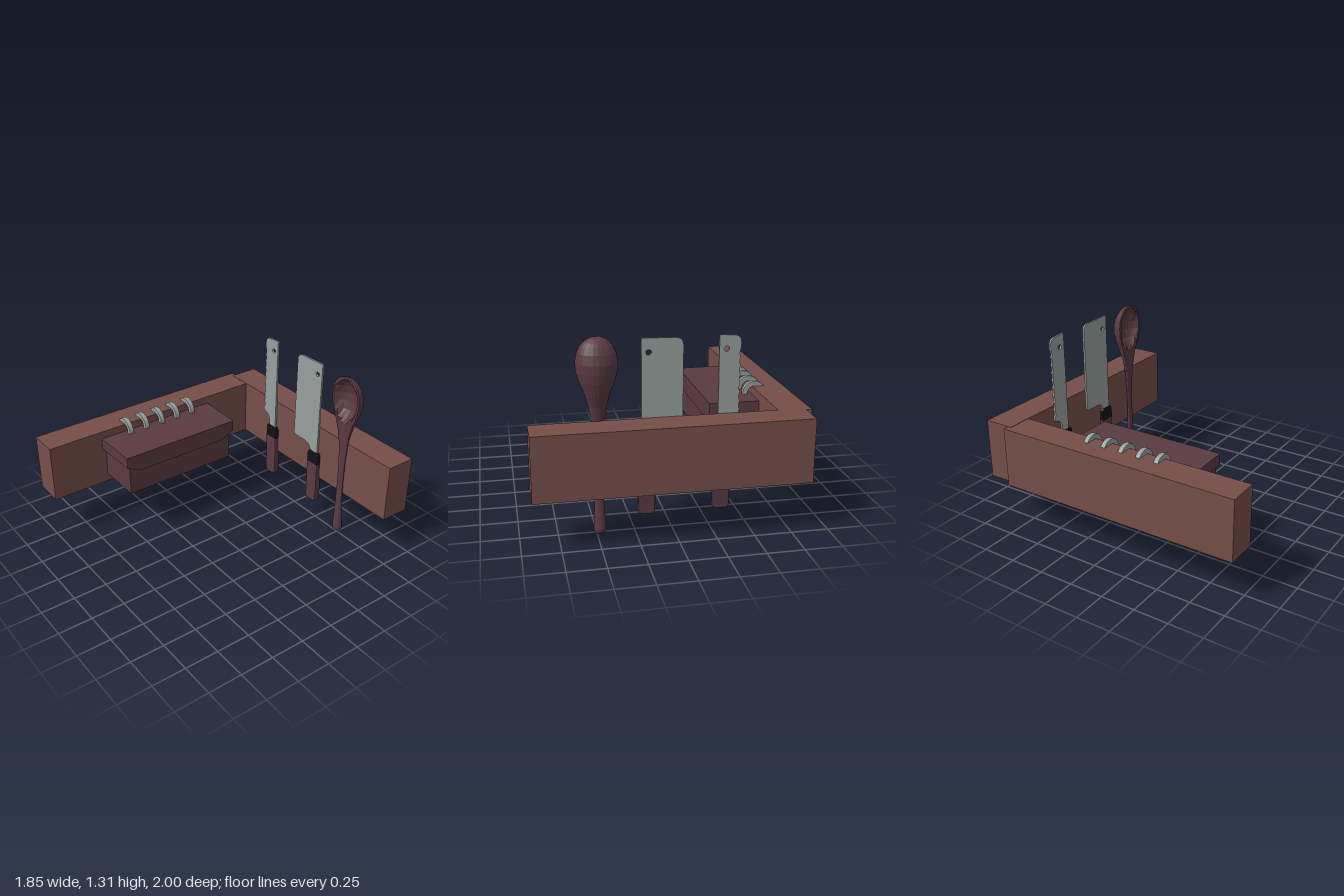
import * as THREE from 'three';

const material = (color, extra = {}) => new THREE.MeshStandardMaterial({ color, flatShading: true, ...extra });
const beamWood = material(0x764e48);
const darkWood = material(0x5a3a41);
const steel = material(0x96a09d);
const black = material(0x101218);

function add(parent, name, geometry, mat) {
  const mesh = new THREE.Mesh(geometry, mat);
  mesh.name = name;
  parent.add(mesh);
  return mesh;
}

// Box given by its minimum and maximum corners
function addBox(parent, name, [x0, y0, z0], [x1, y1, z1], mat) {
  const mesh = add(parent, name, new THREE.BoxGeometry(x1 - x0, y1 - y0, z1 - z0), mat);
  mesh.position.set((x0 + x1) / 2, (y0 + y1) / 2, (z0 + z1) / 2);
  return mesh;
}

const polygon = (points) => new THREE.Shape(points.map(([x, y]) => new THREE.Vector2(x, y)));

// Extrusion between two z levels, with an optional inward chamfer
function slab(shape, z0, z1, bevel = 0, curveSegments = 6) {
  return new THREE.ExtrudeGeometry(shape, {
    depth: z1 - z0 - 2 * bevel, bevelEnabled: bevel > 0, bevelSize: bevel, bevelOffset: -bevel,
    bevelThickness: bevel, bevelSegments: 2, curveSegments,
  }).translate(0, 0, z0 + bevel);
}

// Blade outline; right is its spine, left its cutting edge
function bladeShape(left, right, heelY, neckX, teeth) {
  const s = new THREE.Shape();
  s.moveTo(right, 0.53);
  s.lineTo(right, 1.293);
  s.lineTo(left + 0.045, 1.287);
  s.quadraticCurveTo(left, 1.285, left, 1.235);
  if (teeth) {
    const top = 1.2, pitch = (top - heelY - 0.03) / teeth;
    s.lineTo(left, top);
    for (let i = 0; i < teeth; i++) {
      const y = top - i * pitch;
      s.quadraticCurveTo(left + 0.018, y - pitch / 2, left, y - pitch);
    }
  }
  s.lineTo(left, heelY + 0.008);
  s.lineTo(left + 0.008, heelY);
  s.lineTo(Math.max(left + 0.02, neckX - 0.07), heelY - 0.002);
  s.quadraticCurveTo(neckX, heelY - 0.005, neckX, 0.53);
  const hole = new THREE.Path();
  hole.absarc(right - 0.047, 1.2, 0.018, 0, Math.PI * 2, true);
  s.holes.push(hole);
  return s;
}

function knife(name, blade, handleX) {
  const g = new THREE.Group();
  g.name = name;
  add(g, 'blade', slab(blade, -0.778, -0.763), steel);
  const bolster = polygon([[-0.058, 0.455], [0.058, 0.455], [0.058, 0.535], [0.045, 0.55], [-0.045, 0.55], [-0.058, 0.535]]);
  const grip = polygon([[-0.06, 0.456], [-0.052, 0.14], [-0.04, 0.12], [0.04, 0.12], [0.058, 0.135], [0.06, 0.25], [0.056, 0.456]]);
  add(g, 'bolster', slab(bolster, -0.795, -0.752, 0.007), black).position.x = handleX;
  add(g, 'handle', slab(grip, -0.8, -0.75, 0.01), darkWood).position.x = handleX;
  return g;
}

// Spoon lofted from rows of [y, half width, front z, rim z, back z]
function spoonGeometry() {
  const rows = [
    [0, 0.022, -0.755, -0.768, -0.785], [0.012, 0.036, -0.74, -0.768, -0.798], [0.04, 0.041, -0.735, -0.768, -0.802],
    [0.1, 0.038, -0.737, -0.765, -0.796], [0.25, 0.03, -0.742, -0.76, -0.782], [0.45, 0.027, -0.745, -0.76, -0.776],
    [0.62, 0.031, -0.744, -0.759, -0.778], [0.76, 0.04, -0.742, -0.756, -0.785], [0.87, 0.06, -0.738, -0.75, -0.806],
    [0.95, 0.084, -0.736, -0.745, -0.834], [0.98, 0.097, -0.735, -0.742, -0.842], [1.03, 0.116, -0.735, -0.74, -0.855],
    [1.09, 0.131, -0.735, -0.74, -0.863], [1.15, 0.135, -0.735, -0.74, -0.863], [1.21, 0.124, -0.735, -0.74, -0.845],
    [1.25, 0.105, -0.735, -0.74, -0.822], [1.275, 0.084, -0.735, -0.74, -0.802], [1.295, 0.056, -0.735, -0.74, -0.778],
    [1.308, 0.02, -0.735, -0.74, -0.752],
  ];
  const n = 24, position = [], index = [];
  for (const [y, w, front, rim, back] of rows) {
    for (let i = 0; i < n; i++) {
      const a = (i / n) * Math.PI * 2, x = w * Math.cos(a), s = Math.sin(a);
      let z = rim + s * (s > 0 ? front - rim : rim - back);
      // hollow of the bowl
      const d = (x / 0.108) ** 2 + ((y - 1.125) / 0.155) ** 2;
      if (s > 0 && d < 1) z -= 0.085 * Math.sqrt(1 - d);
      position.push(x, y, z);
    }
  }
  for (let r = 0; r < rows.length - 1; r++) {
    for (let i = 0; i < n; i++) {
      const a = r * n + i, b = r * n + (i + 1) % n;
      index.push(a, a + n, b, b, a + n, b + n);
    }
  }
  // end caps
  const last = (rows.length - 1) * n;
  for (let i = 1; i < n - 1; i++) index.push(0, i, i + 1, last, last + i + 1, last + i);
  const g = new THREE.BufferGeometry();
  g.setAttribute('position', new THREE.Float32BufferAttribute(position, 3));
  g.setIndex(index);
  g.computeVertexNormals();
  return g;
}

export function createModel() {
  const model = new THREE.Group();
  model.name = 'wallRack';

  // Two beams meeting in a corner
  addBox(model, 'backBeam', [-0.88, 0.34, -1], [0.923, 0.775, -0.78], beamWood);
  addBox(model, 'sideBeam', [-0.923, 0.338, -0.805], [-0.7, 0.773, 1], beamWood);

  // Hanging box with overlapping lid and front flap
  const box = new THREE.Group();
  box.name = 'storageBox';
  addBox(box, 'body', [-0.71, 0.4, -0.35], [-0.357, 0.64, 0.55], darkWood);
  const lid = polygon([[-0.7, -0.578], [-0.345, -0.572], [-0.345, 0.38], [-0.7, 0.388]]);
  add(box, 'lid', slab(lid, 0.63, 0.715).rotateX(-Math.PI / 2), darkWood);
  const flap = polygon([[-0.572, 0.632], [-0.47, 0.58], [0.27, 0.58], [0.38, 0.632]]);
  add(box, 'lidFlap', slab(flap, -0.357, -0.345).rotateY(Math.PI / 2), darkWood);
  model.add(box);

  // Row of arched hinge rings
  const rings = new THREE.Group();
  rings.name = 'hingeRings';
  const arch = new THREE.Shape();
  arch.absarc(0, 0, 0.086, -0.15, Math.PI + 0.15, false);
  arch.absarc(0, 0, 0.048, Math.PI + 0.15, -0.15, true);
  const archGeometry = slab(arch, -0.018, 0.018, 0.004, 10);
  for (let i = 0; i < 5; i++) {
    add(rings, 'hingeRing', archGeometry, steel).position.set(-0.718, 0.724, -0.2 + i * 0.139);
  }
  model.add(rings);

  // Utensils on the back beam
  model.add(knife('serratedKnife', bladeShape(-0.438, -0.295, 0.65, -0.36, 9), -0.327));
  model.add(knife('cleaver', bladeShape(-0.064, 0.205, 0.605, 0.13, 0), 0.171));
  add(model, 'spoon', spoonGeometry(), darkWood).position.x = 0.48;

  return model;
}
